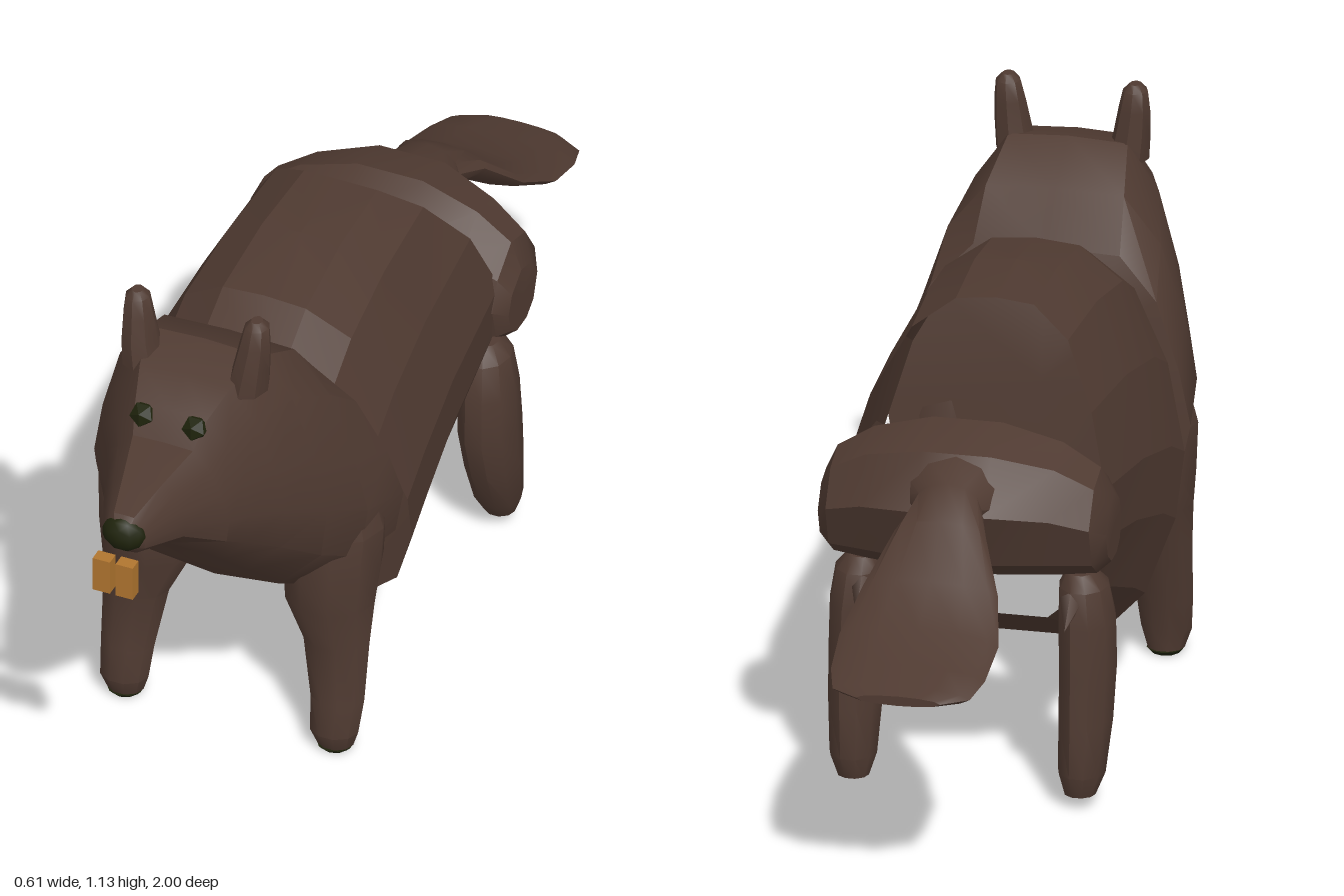
import * as THREE from 'three';
import { toCreasedNormals } from 'three/addons/utils/BufferGeometryUtils.js';

const fur = new THREE.MeshStandardMaterial({ color: 0x4f3a31, side: THREE.DoubleSide });
fur.name = 'brown fur';
const dark = new THREE.MeshStandardMaterial({ color: 0x1f230c });
dark.name = 'dark green';
const tooth = new THREE.MeshStandardMaterial({ color: 0xb0752f });
tooth.name = 'amber tooth';

// Skin a list of equal-sized rings of [x, y, z] points, optionally closing both ends
function loft(rings, { capped = true, crease = 0.55 } = {}) {
  const n = rings[0].length;
  const pos = rings.flat(2);
  const idx = [];
  for (let i = 0; i < rings.length - 1; i++) {
    for (let j = 0; j < n; j++) {
      const a = i * n + j, b = i * n + (j + 1) % n;
      idx.push(a, b, a + n, b, b + n, a + n);
    }
  }
  if (capped) {
    [0, rings.length - 1].forEach((r, end) => {
      const c = pos.length / 3;
      for (let k = 0; k < 3; k++) pos.push(rings[r].reduce((s, p) => s + p[k], 0) / n);
      for (let j = 0; j < n; j++) {
        const a = r * n + j, b = r * n + (j + 1) % n;
        if (end) idx.push(a, b, c); else idx.push(b, a, c);
      }
    });
  }
  const g = new THREE.BufferGeometry();
  g.setAttribute('position', new THREE.Float32BufferAttribute(pos, 3));
  g.setIndex(idx);
  return toCreasedNormals(g, crease);
}

// Complete a half profile, top to bottom on +x, with its mirror image
const mirrored = (half) => [...half, ...half.slice(1, -1).reverse().map(([u, v]) => [-u, v])];

// Cross-section between a top and bottom point (z, y), with half-width w and a backward bow
const slice = (profile) => ([tz, ty, bz, by, w, bow = 0]) => profile.map(([u, v]) => {
  const t = (1 - v) / 2;
  return [u * w, ty + (by - ty) * t, tz + (bz - tz) * t - bow * (1 - v * v)];
});

// Upright limb of elliptical rings, listed downwards: [x, y, z, rx, rz]
const limb = (sections, side, n = 10) => loft(sections.map(([x, y, z, rx, rz]) =>
  Array.from({ length: n }, (_, j) => {
    const a = j / n * Math.PI * 2;
    return [side * x + rx * Math.cos(a), y, z + rz * Math.sin(a)];
  })), { crease: 0.7 });

export function createModel() {
  const model = new THREE.Group();
  const add = (name, geometry, material, x = 0, y = 0, z = 0) => {
    const m = new THREE.Mesh(geometry, material);
    m.name = name;
    m.position.set(x, y, z);
    model.add(m);
    return m;
  };

  // Head and chest in one tapering piece
  const chestShape = mirrored([[0, 1], [0.48, 0.98], [0.74, 0.68], [0.91, 0.2], [1, -0.2],
    [0.93, -0.6], [0.55, -0.94], [0, -1]]);
  add('headAndChest', loft([
    [0.965, 0.845, 0.965, 0.80, 0.025],
    [0.945, 0.867, 0.94, 0.775, 0.045],
    [0.85, 0.892, 0.84, 0.735, 0.088],
    [0.755, 0.914, 0.72, 0.63, 0.134],
    [0.715, 0.965, 0.67, 0.58, 0.16],
    [0.645, 1.005, 0.60, 0.51, 0.203],
    [0.55, 1.027, 0.50, 0.41, 0.25],
    [0.43, 0.965, 0.40, 0.345, 0.29],
    [0.355, 0.87, 0.265, 0.335, 0.307, 0.025],
  ].map(slice(chestShape))), fur);

  // Open barrel body with a flat belly
  const barrelShape = mirrored([[0, 1], [0.3, 0.98], [0.6, 0.82], [0.85, 0.45], [1, 0],
    [0.97, -0.35], [0.8, -0.75], [0.5, -1], [0, -1]]);
  add('body', loft([
    [0.36, 0.87, 0.13, 0.145, 0.302],
    [0.26, 0.93, 0.06, 0.185, 0.297, 0.01],
    [0.08, 0.96, -0.06, 0.25, 0.28, 0.04],
    [-0.11, 0.957, -0.23, 0.335, 0.262, 0.125],
  ].map(slice(barrelShape)), { capped: false, crease: 0.2 }), fur);

  // Hips, swept across with drooping rounded ends: [x, height scale, depth scale, centre y]
  const hipShape = [[-0.36, 0.8], [-0.25, 0.73], [-0.21, 0.64], [-0.24, 0.54], [-0.31, 0.5],
    [-0.42, 0.5], [-0.5, 0.55], [-0.545, 0.67], [-0.47, 0.77]];
  const halfHips = [[0.07, 1, 0.98, 0.64], [0.19, 0.88, 0.76, 0.625], [0.265, 0.7, 0.62, 0.605],
    [0.29, 0.45, 0.42, 0.59]];
  const hipSections = [...halfHips.map(([x, ...rest]) => [-x, ...rest]).reverse(), ...halfHips];
  add('hips', loft(hipSections.map(([x, sy, sz, cy]) =>
    hipShape.map(([z, y]) => [x, cy + (y - 0.64) * sy, -0.325 + (z + 0.325) * sz]))), fur);

  // Flat paddle tail
  const oval = Array.from({ length: 12 }, (_, j) =>
    [Math.sin(j * Math.PI / 6), Math.cos(j * Math.PI / 6)]);
  add('tail', loft([
    [-0.46, 0.77, -0.48, 0.57, 0.12],
    [-0.545, 0.74, -0.54, 0.635, 0.068],
    [-0.62, 0.69, -0.605, 0.63, 0.092],
    [-0.71, 0.60, -0.69, 0.555, 0.135],
    [-0.81, 0.54, -0.80, 0.49, 0.16],
    [-0.91, 0.505, -0.905, 0.46, 0.155],
    [-0.97, 0.485, -0.97, 0.45, 0.138],
    [-1.0, 0.475, -1.0, 0.455, 0.085],
  ].map(slice(oval))), fur);

  for (const side of [1, -1]) {
    const label = side > 0 ? 'left' : 'right';

    // Front leg growing out of the chest, with sole and elbow spur
    add(label + 'FrontLeg', limb([
      [0.2, 0.64, 0.365, 0.07, 0.06],
      [0.205, 0.52, 0.365, 0.098, 0.095],
      [0.198, 0.42, 0.37, 0.1, 0.103],
      [0.196, 0.34, 0.38, 0.094, 0.085],
      [0.215, 0.25, 0.393, 0.07, 0.058],
      [0.225, 0.12, 0.412, 0.057, 0.046],
      [0.225, 0.05, 0.428, 0.051, 0.044],
      [0.225, 0.012, 0.422, 0.038, 0.034],
    ], side), fur);
    add(label + 'Sole', new THREE.CylinderGeometry(0.038, 0.03, 0.009, 10), dark,
      side * 0.225, 0.0065, 0.422);
    const elbow = add(label + 'Elbow', new THREE.ConeGeometry(0.025, 0.07, 5), fur,
      side * 0.2, 0.355, 0.265);
    elbow.rotation.x = -Math.PI / 2;

    // Hind leg with heel spur
    add(label + 'HindLeg', limb([
      [0.22, 0.485, -0.325, 0.03, 0.035],
      [0.225, 0.455, -0.32, 0.05, 0.062],
      [0.23, 0.38, -0.315, 0.058, 0.078],
      [0.232, 0.28, -0.318, 0.058, 0.088],
      [0.232, 0.18, -0.337, 0.055, 0.076],
      [0.23, 0.075, -0.365, 0.048, 0.055],
      [0.228, 0.03, -0.375, 0.032, 0.03],
    ], side), fur);
    const heel = add(label + 'Hock', new THREE.ConeGeometry(0.025, 0.08, 5), fur,
      side * 0.21, 0.415, -0.4);
    heel.rotation.x = -Math.PI / 2 - 0.5;

    // Rounded ear
    add(label + 'Ear', limb([
      [0.128, 1.136, 0.585, 0.012, 0.014],
      [0.128, 1.122, 0.585, 0.025, 0.027],
      [0.125, 1.08, 0.588, 0.032, 0.034],
      [0.12, 1.03, 0.592, 0.037, 0.045],
      [0.112, 0.975, 0.592, 0.042, 0.052],
    ], side, 8), fur);

    // Eye and front tooth
    add(label + 'Eye', new THREE.IcosahedronGeometry(0.028, 0), dark, side * 0.056, 0.943, 0.722);
    add(label + 'Tooth', new THREE.BoxGeometry(0.037, 0.077, 0.028), tooth,
      side * 0.0245, 0.747, 0.986);
  }

  // Nose
  const nose = add('nose', new THREE.IcosahedronGeometry(1, 1), dark, 0, 0.824, 0.945);
  nose.scale.set(0.046, 0.039, 0.032);

  return model;
}
